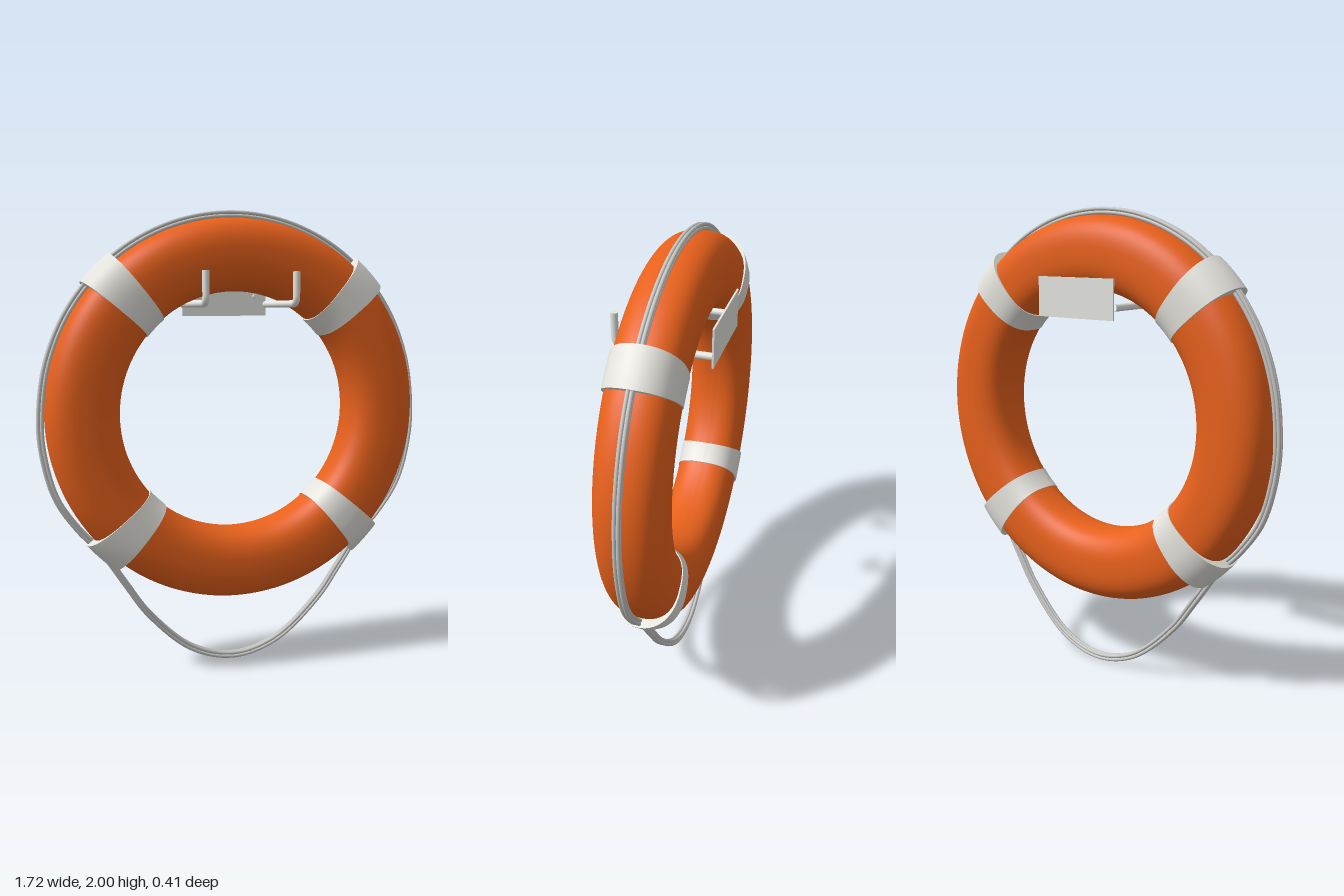
import * as THREE from 'three';

const CY = 1.143, CZ = -0.03; // ring centre

const material = (name, color, side = THREE.FrontSide) => {
  const m = new THREE.MeshStandardMaterial({ color, side });
  m.name = name;
  return m;
};

// Closed rounded-square section from radius r0 to r1, half depth h;
// nIn and nOut set how square the inner and outer halves are
function section(r0, r1, h, nIn, nOut, steps = 56) {
  const pts = [];
  const pw = (v, n) => Math.sign(v) * Math.pow(Math.abs(v), 2 / n);
  for (let i = 0; i <= steps; i++) {
    const a = Math.PI + (i / steps) * Math.PI * 2;
    const n = Math.cos(a) > 0 ? nOut : nIn;
    pts.push(new THREE.Vector2((r0 + r1) / 2 + (r1 - r0) / 2 * pw(Math.cos(a), n), h * pw(Math.sin(a), n)));
  }
  return pts;
}

export function createModel() {
  const group = new THREE.Group();
  const orange = material('orange foam', 0xea621c);
  const pale = material('pale grey strap', 0xe3e2dc, THREE.DoubleSide);
  const ropeGrey = material('grey rope', 0xc6c6c4);
  const steel = material('light steel', 0xe5e5e0);

  const add = (name, geometry, mat, x = 0, y = 0, z = 0) => {
    const mesh = new THREE.Mesh(geometry, mat);
    mesh.name = name;
    mesh.position.set(x, y, z);
    group.add(mesh);
    return mesh;
  };

  // Buoyant ring
  add('ring', new THREE.LatheGeometry(section(0.518, 0.827, 0.137, 2.6, 2.6), 128), orange, 0, CY, CZ)
    .rotation.x = Math.PI / 2;

  // Four straps wrapped over ring and rope, closed at both edges
  const half = THREE.MathUtils.degToRad(5.4);
  const strapSection = section(0.512, 0.867, 0.143, 2.6, 2.2);
  for (let i = 0; i < 4; i++) {
    const mid = Math.PI / 4 + i * Math.PI / 2;
    add('strap', new THREE.LatheGeometry(strapSection, 6, mid - half, half * 2), pale, 0, CY, CZ)
      .rotation.x = Math.PI / 2;
    for (const edge of [mid - half, mid + half]) {
      const cap = new THREE.ShapeGeometry(new THREE.Shape(strapSection)).rotateY(edge - Math.PI / 2);
      add('strapEdge', cap, pale, 0, CY, CZ).rotation.x = Math.PI / 2;
    }
  }

  // Grab rope path: hugs the ring above, hangs in a loop below
  const right = [];
  for (const deg of [75, 60, 45, 30, 15]) {
    const a = THREE.MathUtils.degToRad(deg);
    right.push([0.842 * Math.cos(a), CY + 0.842 * Math.sin(a), CZ]);
  }
  right.push([0.845, 1.15, CZ], [0.84, 1.0, CZ], [0.79, 0.8, CZ], [0.7, 0.66, CZ], [0.6, 0.55, CZ],
    [0.5, 0.4, -0.036], [0.4, 0.255, -0.043], [0.2, 0.072, -0.055]);
  const left = right.map(([x, y, z]) => [-x, y, z]).reverse();
  const loop = [[0, CY + 0.842, CZ], ...right, [0, 0.015, -0.058], ...left];
  const ropePath = new THREE.CatmullRomCurve3(loop.map((p) => new THREE.Vector3(...p)), true);

  // Four parallel strands make up the rope
  const d = 0.0075, count = 100;
  for (const side of [-d, d]) {
    for (const depth of [-d, d]) {
      const pts = [];
      for (let i = 0; i < count; i++) {
        const t = ropePath.getTangentAt(i / count);
        pts.push(ropePath.getPointAt(i / count).add(new THREE.Vector3(t.y * side, -t.x * side, depth)));
      }
      const strand = new THREE.CatmullRomCurve3(pts, true);
      add('ropeStrand', new THREE.TubeGeometry(strand, 200, 0.008, 10, true), ropeGrey);
    }
  }

  // Wall plate
  add('wallPlate', new THREE.BoxGeometry(0.39, 0.165, 0.008), steel, 0, 1.638, -0.2);

  // Hooks and plate screws, mirrored
  for (const s of [-1, 1]) {
    const v = (y, z) => new THREE.Vector3(s * 0.195, y, z);
    const path = new THREE.CurvePath();
    path.add(new THREE.LineCurve3(v(1.607, -0.2), v(1.607, 0.16)));
    path.add(new THREE.QuadraticBezierCurve3(v(1.607, 0.16), v(1.607, 0.192), v(1.639, 0.192)));
    path.add(new THREE.LineCurve3(v(1.639, 0.192), v(1.738, 0.192)));
    add('hook', new THREE.TubeGeometry(path, 60, 0.015, 16), steel);
    add('hookTip', new THREE.CylinderGeometry(0.015, 0.015, 0.004, 16), steel, s * 0.195, 1.737, 0.192);
    add('screw', new THREE.CylinderGeometry(0.007, 0.01, 0.008, 12), steel, s * 0.14, 1.642, -0.193)
      .rotation.x = Math.PI / 2;
  }
  return group;
}
